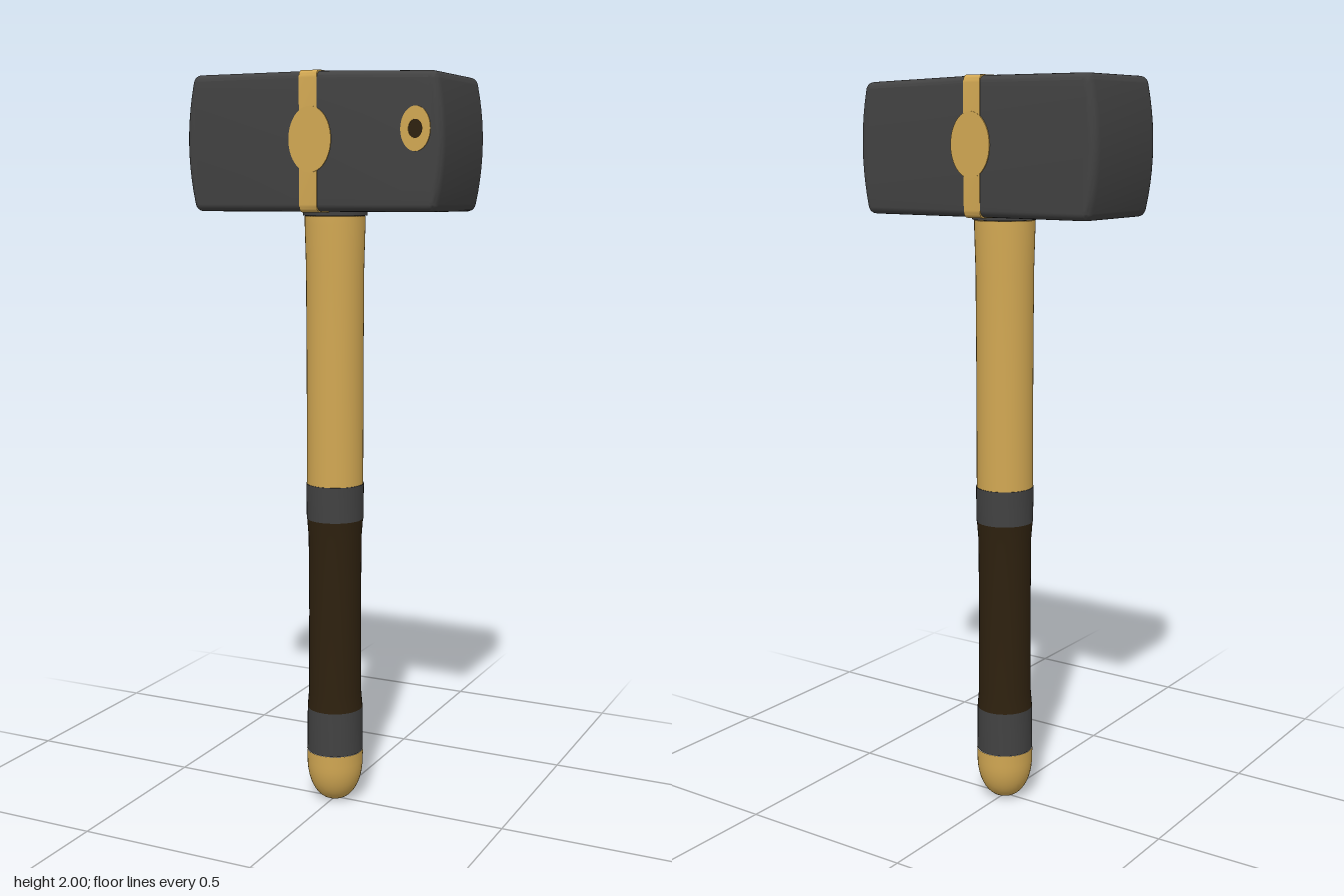
import * as THREE from 'three';
import { toCreasedNormals } from 'three/addons/utils/BufferGeometryUtils.js';

function material(name, color) {
  const m = new THREE.MeshStandardMaterial({ color });
  m.name = name;
  return m;
}

// Rectangle path with rounded corners, centred on the origin
function roundedRect(path, w, h, r) {
  const x = w / 2, y = h / 2;
  path.moveTo(-x + r, -y);
  path.lineTo(x - r, -y);
  path.quadraticCurveTo(x, -y, x, -y + r);
  path.lineTo(x, y - r);
  path.quadraticCurveTo(x, y, x - r, y);
  path.lineTo(-x + r, y);
  path.quadraticCurveTo(-x, y, -x, y - r);
  path.lineTo(-x, -y + r);
  path.quadraticCurveTo(-x, -y, -x + r, -y);
  return path;
}

function ellipse(path, rx, ry) {
  path.absellipse(0, 0, rx, ry, 0, Math.PI * 2, false, 0);
  return path;
}

export function createModel() {
  const group = new THREE.Group();
  const iron = material('dark iron', 0x424242);
  const gold = material('golden wood', 0xd2a853);
  const leather = material('brown leather', 0x2e210f);

  function add(name, geometry, mat, x = 0, y = 0, z = 0) {
    const mesh = new THREE.Mesh(geometry, mat);
    mesh.name = name;
    mesh.position.set(x, y, z);
    group.add(mesh);
    return mesh;
  }

  function lathe(name, points, mat) {
    const profile = points.map(([r, y]) => new THREE.Vector2(r, y));
    return add(name, toCreasedNormals(new THREE.LatheGeometry(profile, 40), 0.7), mat);
  }

  // Handle, from the rounded butt up to the collar under the head
  const butt = [];
  for (let i = 0; i <= 12; i++) {
    const a = (i / 12) * Math.PI / 2;
    butt.push([0.078 * Math.pow(Math.sin(a), 0.85), 0.115 * (1 - Math.cos(a))]);
  }
  butt.push([0.079, 0.148]);
  lathe('buttCap', butt, gold);
  lathe('lowerBand', [[0.07, 0.148], [0.078, 0.148], [0.077, 0.272], [0.07, 0.272]], iron);
  lathe('grip', [[0.077, 0.272], [0.073, 0.32], [0.072, 0.55], [0.073, 0.76], [0.077, 0.812]], leather);
  lathe('upperBand', [[0.07, 0.812], [0.078, 0.812], [0.079, 0.91], [0.07, 0.91]], iron);
  lathe('shaft', [[0.077, 0.91], [0.077, 1.25], [0.078, 1.5], [0.081, 1.61], [0.081, 1.632], [0.07, 1.634]], gold);
  lathe('collar', [[0.07, 1.632], [0.086, 1.634], [0.086, 1.66]], iron);

  // Head block with bulging striking faces and softened edges
  const outline = new THREE.Shape();
  outline.moveTo(-0.325, 1.645);
  outline.lineTo(0.325, 1.645);
  outline.quadraticCurveTo(0.344, 1.645, 0.348, 1.668);
  outline.quadraticCurveTo(0.38, 1.82, 0.348, 1.968);
  outline.quadraticCurveTo(0.344, 1.988, 0.325, 1.988);
  outline.lineTo(0, 1.998);
  outline.lineTo(-0.325, 1.998);
  outline.quadraticCurveTo(-0.344, 1.998, -0.348, 1.975);
  outline.quadraticCurveTo(-0.382, 1.82, -0.348, 1.668);
  outline.quadraticCurveTo(-0.344, 1.645, -0.325, 1.645);
  const head = new THREE.ExtrudeGeometry(outline, {
    depth: 0.256, bevelThickness: 0.025, bevelSize: 0.018, bevelOffset: -0.018,
    bevelSegments: 5, curveSegments: 10,
  });
  head.translate(0, 0, -0.128);
  add('head', toCreasedNormals(head, 0.6), iron);

  // Inlaid strap running all the way round the head
  const strapShape = roundedRect(new THREE.Shape(), 0.31, 0.357, 0.02);
  strapShape.holes.push(roundedRect(new THREE.Path(), 0.296, 0.343, 0.018));
  const strap = new THREE.ExtrudeGeometry(strapShape, { depth: 0.05, bevelEnabled: false, curveSegments: 6 });
  strap.translate(0, 0, -0.025);
  strap.rotateY(Math.PI / 2);
  add('strap', toCreasedNormals(strap, 0.6), gold, -0.003, 1.8215, 0);

  // Oval medallions on both broad sides
  const oval = new THREE.ExtrudeGeometry(ellipse(new THREE.Shape(), 0.06, 0.083), {
    depth: 0.004, bevelEnabled: false, curveSegments: 24,
  });
  add('frontMedallion', oval, gold, 0.002, 1.827, 0.152);
  add('backMedallion', oval, gold, 0.002, 1.827, -0.156);

  // Small eyelet on the front only
  const ringShape = ellipse(new THREE.Shape(), 0.04, 0.055);
  ringShape.holes.push(ellipse(new THREE.Path(), 0.019, 0.023));
  const ring = new THREE.ExtrudeGeometry(ringShape, { depth: 0.004, bevelEnabled: false, curveSegments: 20 });
  add('eyeletRing', ring, gold, 0.293, 1.848, 0.152);
  const pupil = new THREE.ShapeGeometry(ellipse(new THREE.Shape(), 0.021, 0.025), 20);
  add('eyeletCentre', pupil, leather, 0.293, 1.848, 0.1545);

  return group;
}
